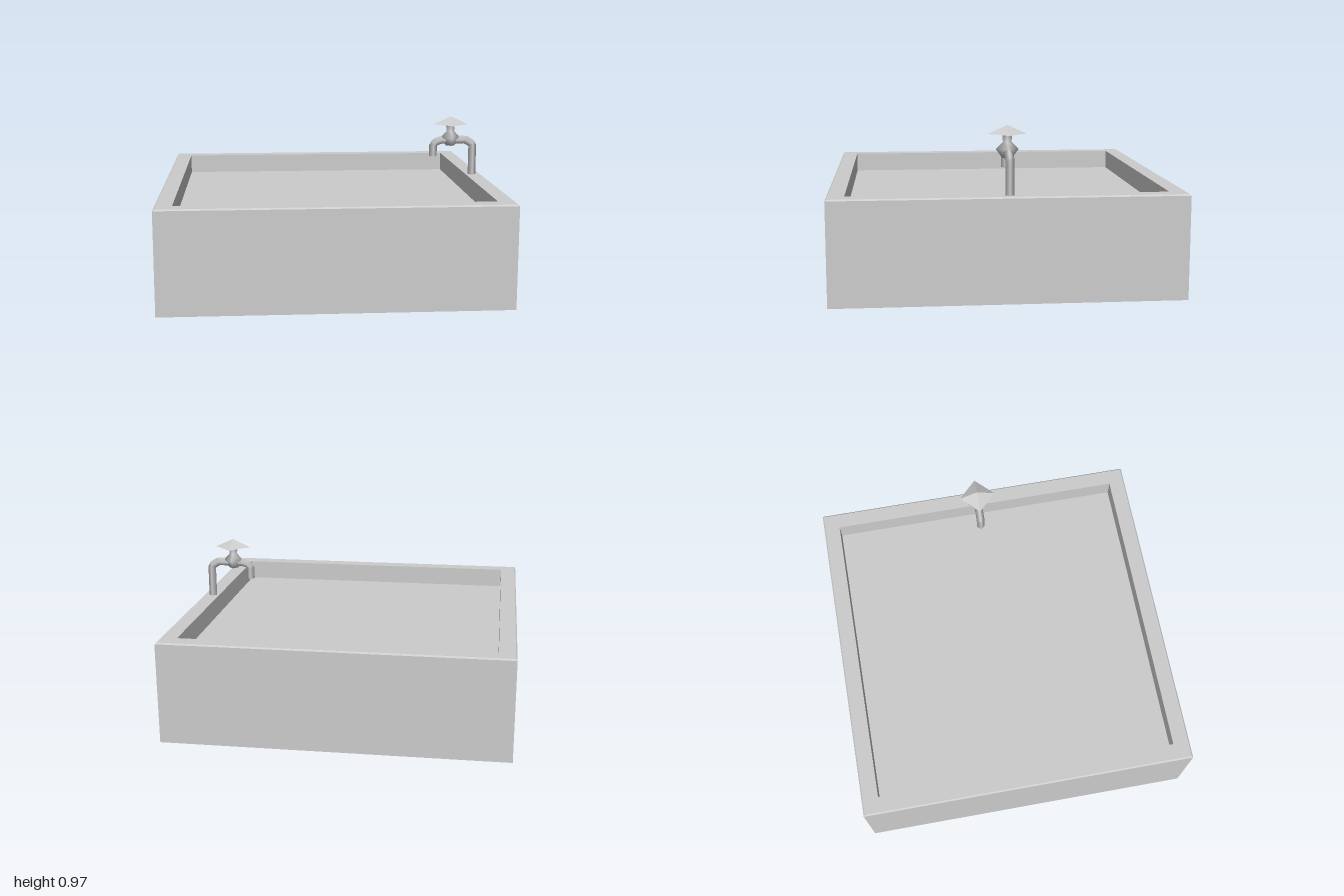
import * as THREE from 'three';
import { toCreasedNormals } from 'three/addons/utils/BufferGeometryUtils.js';

const grey = new THREE.MeshStandardMaterial({ color: 0xcccccc, side: THREE.DoubleSide });
grey.name = 'light grey';

function part(name, geometry, parent) {
  const mesh = new THREE.Mesh(geometry, grey);
  mesh.name = name;
  parent.add(mesh);
  return mesh;
}

const points = (list, scale = 1) => list.map(([r, y]) => new THREE.Vector2(r * scale, y));

// Square shell with crisp edges from a profile of [half width, height]
function squareShell(profile) {
  const shell = new THREE.LatheGeometry(points(profile, Math.SQRT2), 4, Math.PI / 4);
  return toCreasedNormals(shell, 0.3);
}

export function createModel() {
  const model = new THREE.Group();
  model.name = 'washBasin';

  // Outer walls, rim and shallow recess
  part('basin', squareShell([
    [1, 0], [1, 0.592], [0.992, 0.6], [0.9, 0.6], [0.9, 0.48], [0, 0.48],
  ]), model);

  // Underside with a deep box, open ring around it
  part('underTray', squareShell([
    [0, 0.03], [0.68, 0.03], [0.68, 0.4], [1, 0.4],
  ]), model);

  const tap = new THREE.Group();
  tap.name = 'tap';
  model.add(tap);

  // Four-sided pipe: straight runs with chamfered elbows
  const path = new THREE.CatmullRomCurve3([
    [0.94, 0.58], [0.94, 0.795], [0.895, 0.823], [0.74, 0.823], [0.705, 0.812], [0.687, 0.79], [0.687, 0.72],
  ].map(([x, y]) => new THREE.Vector3(x, y, 0)), false, 'catmullrom', 0);
  part('pipe', new THREE.TubeGeometry(path, 48, 0.025, 4), tap);

  // Faceted valve body and stem
  const valve = new THREE.LatheGeometry(points([
    [0, 0.787], [0.028, 0.787], [0.064, 0.837], [0.024, 0.878], [0.029, 0.925],
  ]), 4);
  part('valve', valve, tap).position.x = 0.797;

  // Pyramid-shaped handle, open below
  const handle = new THREE.ConeGeometry(0.11, 0.05, 4, 1, true);
  part('handle', toCreasedNormals(handle, 0.2), tap).position.set(0.797, 0.947, 0);

  return model;
}
